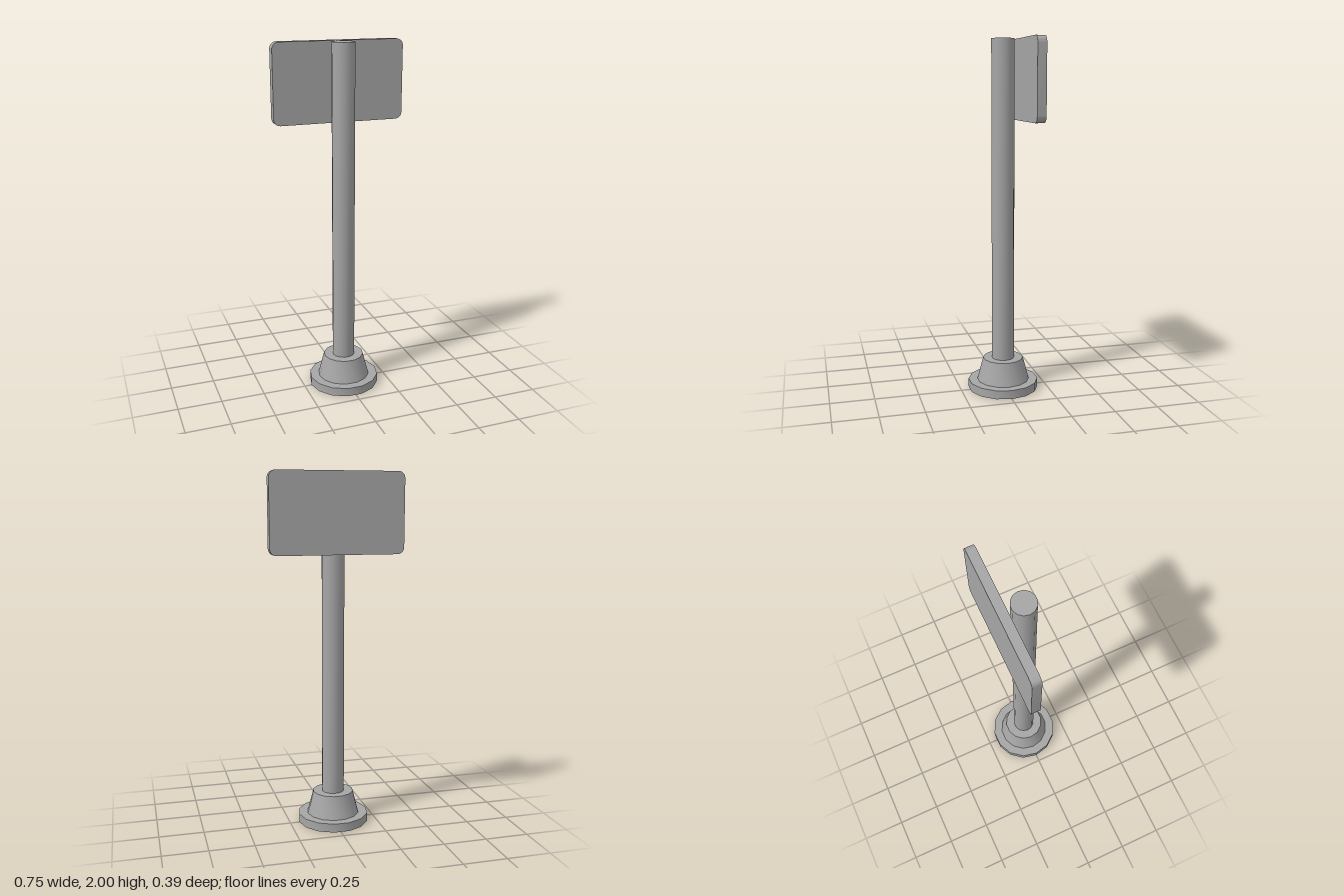
import * as THREE from 'three';
import { toCreasedNormals } from 'three/addons/utils/BufferGeometryUtils.js';

const SIDES = 14;
const CENTRE_X = -0.006;

export function createModel() {
  const group = new THREE.Group();
  const metal = new THREE.MeshStandardMaterial({ color: 0xa6a6a6, side: THREE.DoubleSide });
  metal.name = 'grey metal';

  const add = (name, geometry, x, y, z) => {
    const mesh = new THREE.Mesh(toCreasedNormals(geometry, 0.6), metal);
    mesh.name = name;
    mesh.position.set(x, y, z);
    group.add(mesh);
  };

  // Hollow foot: rim, flange, tapered collar and its flat top, open underneath
  const profile = [[0.202, 0], [0.202, 0.05], [0.15, 0.05], [0.116, 0.18], [0, 0.18]]
    .map(([r, y]) => new THREE.Vector2(r, y));
  add('foot', new THREE.LatheGeometry(profile, SIDES, Math.PI / 2), CENTRE_X, 0, 0);

  // Upright pole, standing on the collar
  const pole = new THREE.CylinderGeometry(0.064, 0.064, 1.82, SIDES);
  pole.rotateY(Math.PI / 2);
  add('pole', pole, CENTRE_X, 1.09, 0);

  // Sign panel with rounded corners, just behind the pole
  const w = 0.375, h = 0.2225, r = 0.038;
  const outline = new THREE.Shape();
  [[1, 1], [-1, 1], [-1, -1], [1, -1]].forEach(([sx, sy], i) => {
    const start = i * Math.PI / 2;
    outline.absarc(sx * (w - r), sy * (h - r), r, start, start + Math.PI / 2, false);
  });
  const panel = new THREE.ExtrudeGeometry(outline, { depth: 0.05, bevelEnabled: false, curveSegments: 4 });
  add('signPanel', panel, 0, 2 - h, -0.132);

  return group;
}
